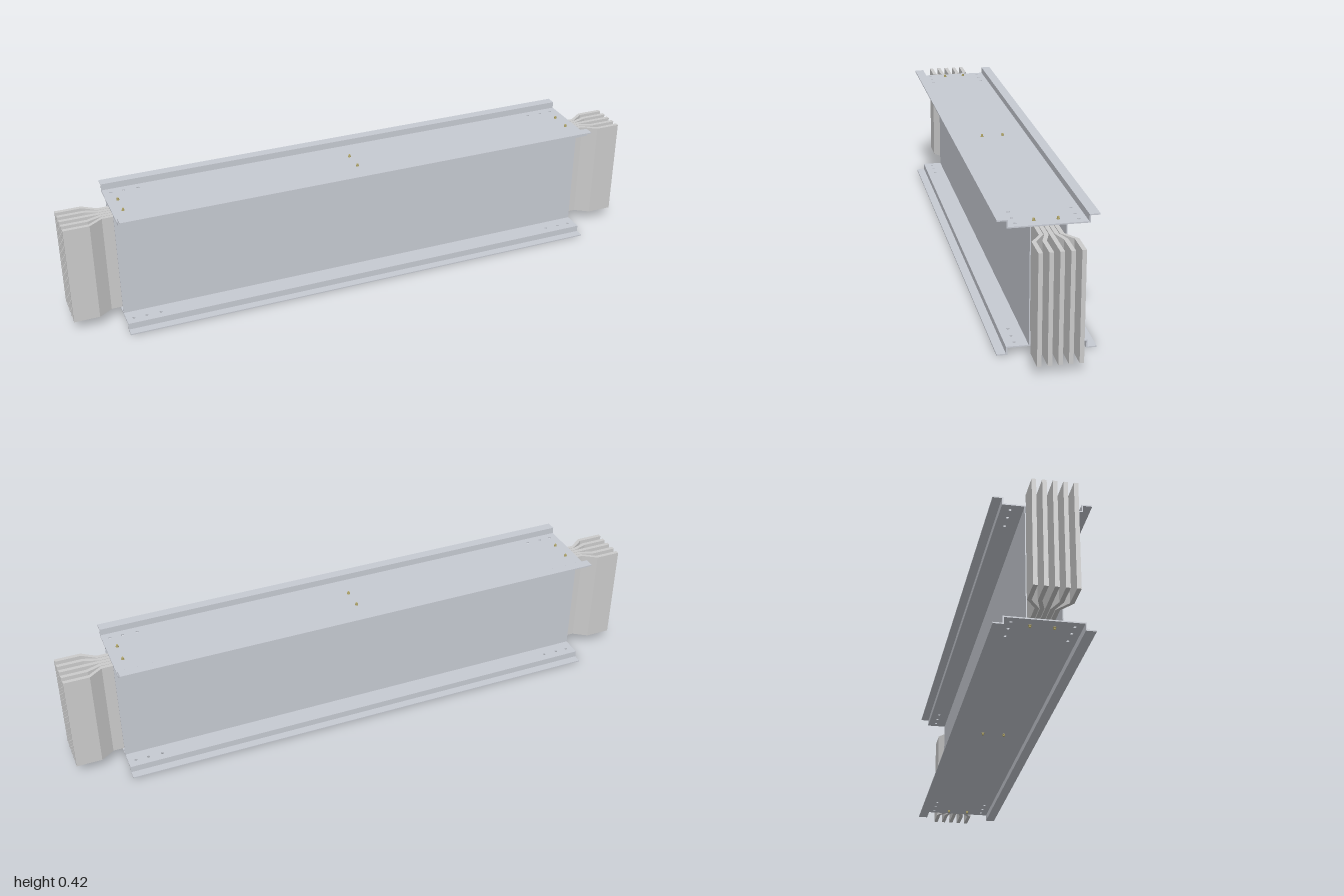
import * as THREE from 'three';

const casingMat = new THREE.MeshStandardMaterial({ color: 0xc6cad2 });
const barMat = new THREE.MeshStandardMaterial({ color: 0xcccccc });
const boltMat = new THREE.MeshStandardMaterial({ color: 0xb5a96a });

const HALF = 0.836;              // half length of the casing
const T = 0.004;                 // sheet thickness
const BOTTOM = 0.024, TOP = 0.396; // channel webs, inner faces sit between

function mesh(geometry, material, name, x = 0, y = 0, z = 0) {
  const m = new THREE.Mesh(geometry, material);
  m.name = name;
  m.position.set(x, y, z);
  return m;
}

// Extrudes a plan outline (x, z) upwards by the given height
function plan(shape, height) {
  return new THREE.ExtrudeGeometry(shape, { depth: height, bevelEnabled: false, curveSegments: 5 })
    .rotateX(-Math.PI / 2);
}

// Flat bar, packed tight inside the casing and fanned out at both ends
function conductor(i) {
  const inner = i * 0.015, outer = i * 0.0305, h = 0.0065;
  const path = [[-1, outer], [-0.915, outer], [-0.87, inner], [0.87, inner], [0.915, outer], [1, outer]];
  const points = [
    ...path.map(([x, z]) => new THREE.Vector2(x, z - h)),
    ...path.map(([x, z]) => new THREE.Vector2(x, z + h)).reverse(),
  ];
  return mesh(plan(new THREE.Shape(points), 0.342), barMat, 'conductorBar', 0, 0.04, 0);
}

// Hat-shaped channel, built lips-up with its web at y = 0
function channel(name) {
  const g = new THREE.Group();
  g.name = name;
  const w = 0.121;
  const shape = new THREE.Shape([
    new THREE.Vector2(-HALF, -w), new THREE.Vector2(HALF, -w),
    new THREE.Vector2(HALF, w), new THREE.Vector2(-HALF, w),
  ]);
  // Mounting holes near both ends
  for (const sx of [-1, 1]) for (const sz of [-1, 1]) for (const x of [0.72, 0.768, 0.81]) {
    const hole = new THREE.Path();
    hole.absarc(sx * x, sz * 0.093, 0.005, 0, Math.PI * 2, true);
    shape.holes.push(hole);
  }
  g.add(mesh(plan(shape, T), casingMat, 'channelWeb', 0, -T / 2, 0));
  for (const s of [-1, 1]) {
    g.add(mesh(new THREE.BoxGeometry(2 * HALF, 0.024, T), casingMat, 'channelSide', 0, 0.01, s * 0.12));
    g.add(mesh(new THREE.BoxGeometry(2 * HALF, T, 0.032), casingMat, 'channelLip', 0, 0.022, s * 0.134));
    // Bolts at the ends and the middle
    for (const x of [-0.8, 0, 0.8]) {
      g.add(mesh(new THREE.CylinderGeometry(0.005, 0.005, 0.002, 12), boltMat, 'washer', x, 0.003, s * 0.036));
      g.add(mesh(new THREE.CylinderGeometry(0.0035, 0.004, 0.007, 6), boltMat, 'boltHead', x, 0.0065, s * 0.036));
    }
  }
  return g;
}

export function createModel() {
  const model = new THREE.Group();
  model.name = 'busbarTrunking';

  // Stack of five conductors
  for (let i = -2; i <= 2; i++) model.add(conductor(i));

  // Side panels
  for (const s of [-1, 1]) {
    model.add(mesh(new THREE.BoxGeometry(2 * HALF, TOP - BOTTOM, 0.003), casingMat,
      s > 0 ? 'frontPanel' : 'backPanel', 0, (TOP + BOTTOM) / 2, s * 0.053));
  }

  // Top channel and its inverted twin below
  const top = channel('topChannel');
  top.position.y = TOP;
  const bottom = channel('bottomChannel');
  bottom.rotation.x = Math.PI;
  bottom.position.y = BOTTOM;
  model.add(top, bottom);
  return model;
}
